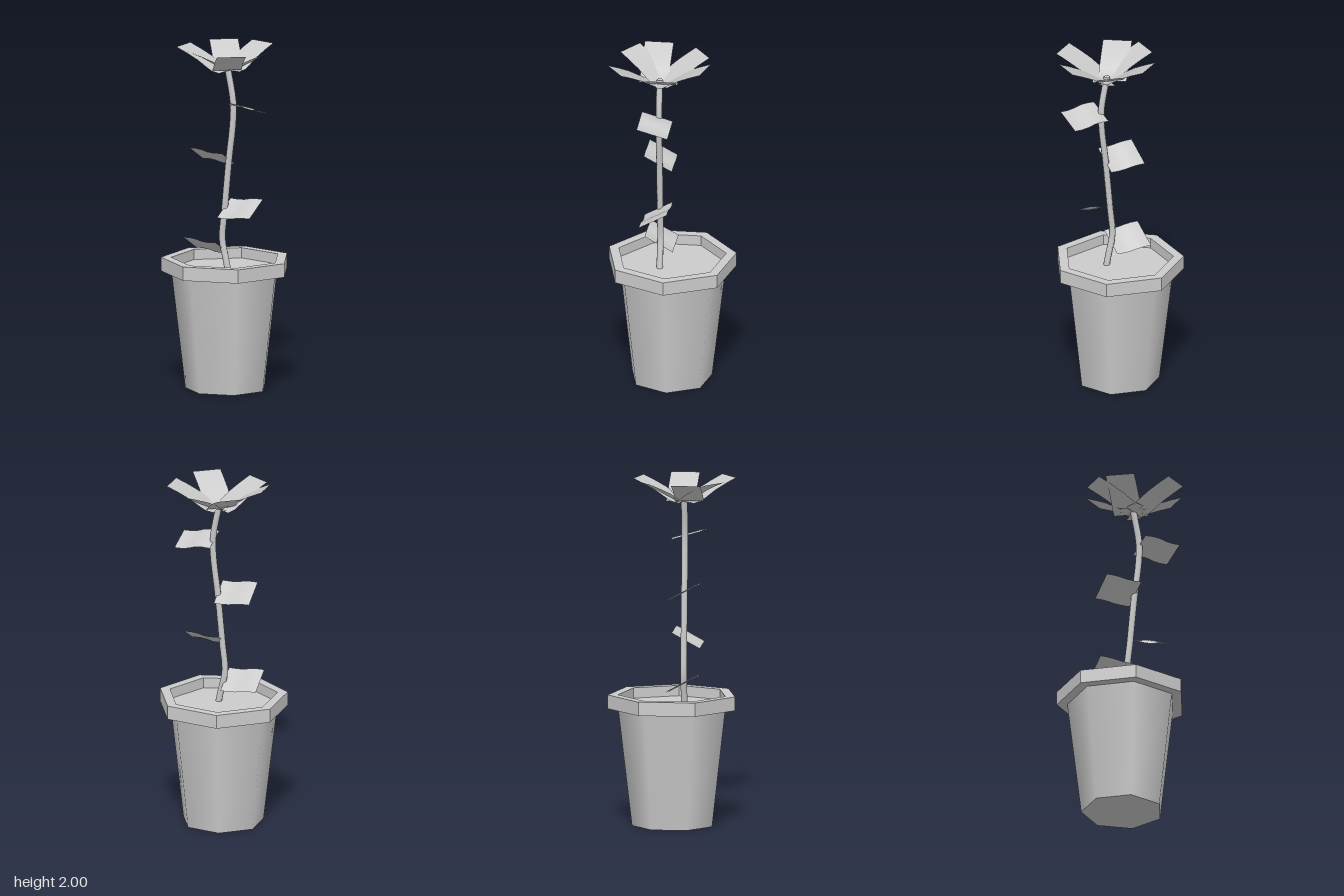
import * as THREE from 'three';

const SIDES = 7;
const smooth = new THREE.MeshStandardMaterial({ color: 0xcccccc });
const flat = new THREE.MeshStandardMaterial({ color: 0xcccccc, flatShading: true });
const thin = new THREE.MeshStandardMaterial({ color: 0xcccccc, side: THREE.DoubleSide });

function add(parent, name, geometry, material) {
  const mesh = new THREE.Mesh(geometry, material);
  mesh.name = name;
  parent.add(mesh);
  return mesh;
}

// Thin strip running along +x, bent to a profile of [distance, height] points
function ribbon(profile, width, heightScale = 1, tilt = 0) {
  const n = profile.length;
  const geo = new THREE.PlaneGeometry(1, width, n - 1, 1).rotateX(-Math.PI / 2);
  const pos = geo.attributes.position;
  for (let i = 0; i < pos.count; i++) {
    const [d, h] = profile[i % n];
    pos.setX(i, d);
    pos.setY(i, h * heightScale);
  }
  geo.rotateX(tilt);
  geo.computeVertexNormals();
  return geo;
}

export function createModel() {
  const model = new THREE.Group();
  model.name = 'pottedFlower';

  // Seven-sided pot with a corner towards +x
  const pot = new THREE.Group();
  pot.name = 'pot';
  pot.position.x = -0.02;
  model.add(pot);
  const body = add(pot, 'potBody',
    new THREE.CylinderGeometry(0.318, 0.237, 0.69, SIDES, 1, false, Math.PI / 2), smooth);
  body.position.y = 0.345;
  const rimProfile = [[0.31, 0.68], [0.377, 0.68], [0.377, 0.76], [0.318, 0.76], [0.318, 0.68]]
    .map(([r, y]) => new THREE.Vector2(r, y));
  add(pot, 'potRim', new THREE.LatheGeometry(rimProfile, SIDES, Math.PI / 2), flat);
  const soil = add(pot, 'soil', new THREE.CircleGeometry(0.318, SIDES).rotateX(-Math.PI / 2), smooth);
  soil.position.y = 0.7;

  // Curved stem
  const path = new THREE.CatmullRomCurve3(
    [[0.024, 0.69], [0.01, 0.76], [-0.015, 0.88], [0, 1.05], [0.03, 1.36],
      [0.053, 1.55], [0.057, 1.68], [0.02, 1.885]]
      .map(([x, y]) => new THREE.Vector3(x, y, 0.06)));
  add(model, 'stem', new THREE.TubeGeometry(path, 24, 0.019, SIDES), smooth);
  const cap = add(model, 'stemTop', new THREE.CircleGeometry(0.019, SIDES).rotateX(-Math.PI / 2), smooth);
  cap.position.set(0.02, 1.885, 0.06);

  // Leaves: x, y at the stem, yaw, tilt, bend
  const leafProfile = [[0, 0], [0.05, -0.003], [0.09, 0], [0.13, 0.01], [0.17, 0.015], [0.215, 0.014]];
  const leaves = [
    [-0.01, 0.83, Math.PI, 0.5, 1],
    [0, 1.065, 0, 0.5, 1],
    [0.03, 1.355, Math.PI, 0.5, 1],
    [0.052, 1.668, 0, -0.28, -1.4],
  ];
  for (const [x, y, yaw, tilt, bend] of leaves) {
    const leaf = add(model, 'leaf', ribbon(leafProfile, 0.185, bend, tilt), thin);
    leaf.position.set(x, y, 0.07);
    leaf.rotation.y = yaw;
  }

  // Petals: root x, root z, heading in degrees
  const petalProfile = [[0, 0], [0.05, 0.01], [0.09, 0.034], [0.14, 0.066], [0.21, 0.1], [0.28, 0.13]];
  const petals = [
    [0.021, 0.038, 0], [0.029, 0.058, 75], [0.03, 0.06, 125],
    [0.03, 0.096, 180], [0.008, 0.024, 235], [0.017, 0.074, 305],
  ];
  const flower = new THREE.Group();
  flower.name = 'flower';
  flower.position.y = 1.87;
  model.add(flower);
  const petalGeo = ribbon(petalProfile, 0.167);
  for (const [x, z, deg] of petals) {
    const petal = add(flower, 'petal', petalGeo, thin);
    petal.position.set(x, 0, z);
    petal.rotation.y = THREE.MathUtils.degToRad(deg);
  }
  return model;
}
